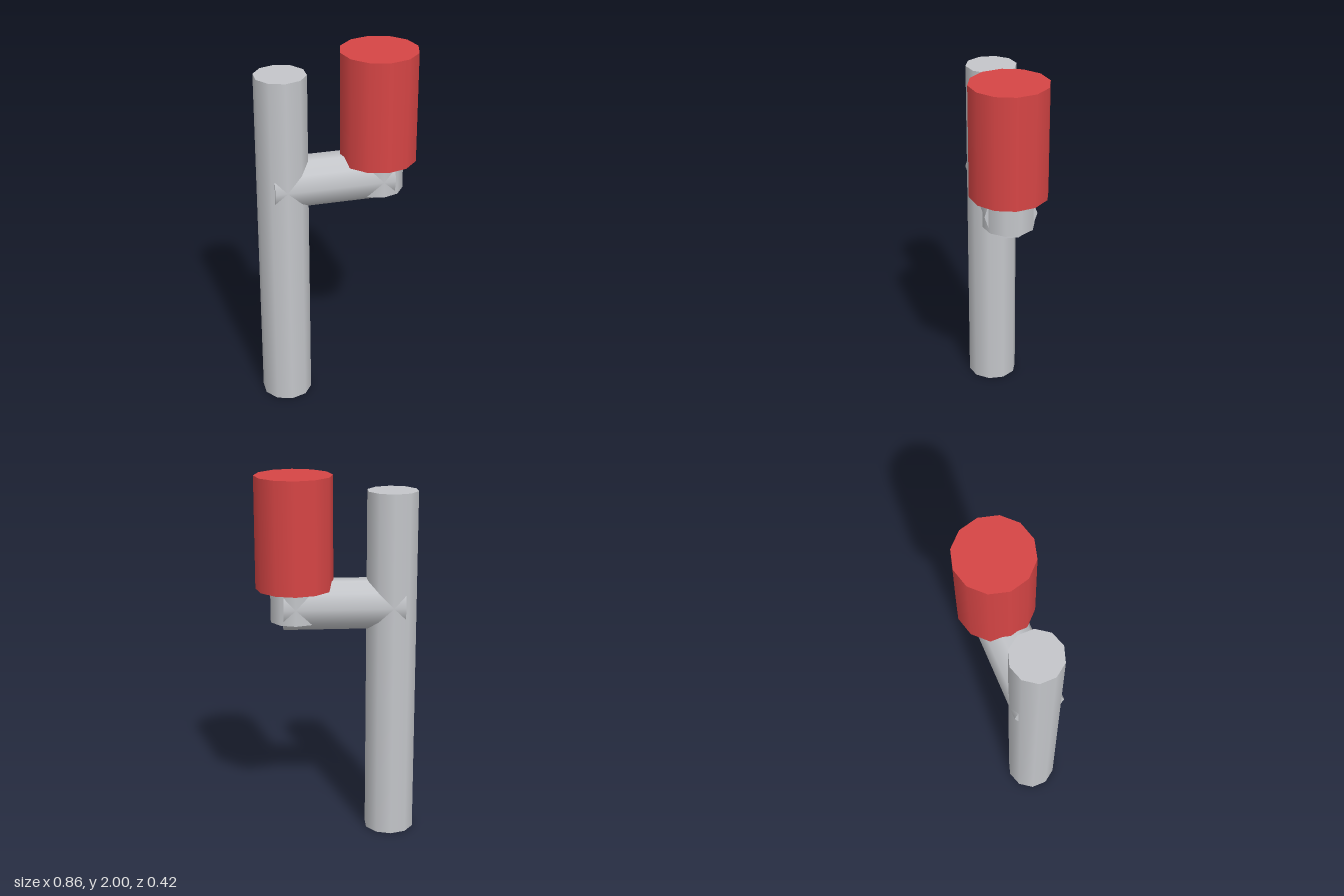
import * as THREE from 'three';

export function createModel() {
  const model = new THREE.Group();
  const grey = new THREE.MeshStandardMaterial({ color: 0xc4c6ca });
  grey.name = 'light grey';
  const red = new THREE.MeshStandardMaterial({ color: 0xd64545 });
  red.name = 'red';

  // Closed cylinder centred at (x, y)
  function cylinder(name, radius, length, sides, x, y, material) {
    const mesh = new THREE.Mesh(new THREE.CylinderGeometry(radius, radius, length, sides), material);
    mesh.name = name;
    mesh.position.set(x, y, 0);
    model.add(mesh);
    return mesh;
  }

  const pipe = 0.138;
  // Upright post
  cylinder('post', pipe, 1.915, 10, -0.3, 0.9575, grey);
  // Horizontal arm through the post
  cylinder('arm', pipe, 0.65, 10, -0.04, 1.307, grey).rotation.z = Math.PI / 2;
  // Short riser from the arm into the canister
  cylinder('riser', pipe, 0.26, 10, 0.22, 1.35, grey);
  // Red canister on the riser
  cylinder('canister', 0.208, 0.603, 12, 0.222, 1.6985, red);

  return model;
}
